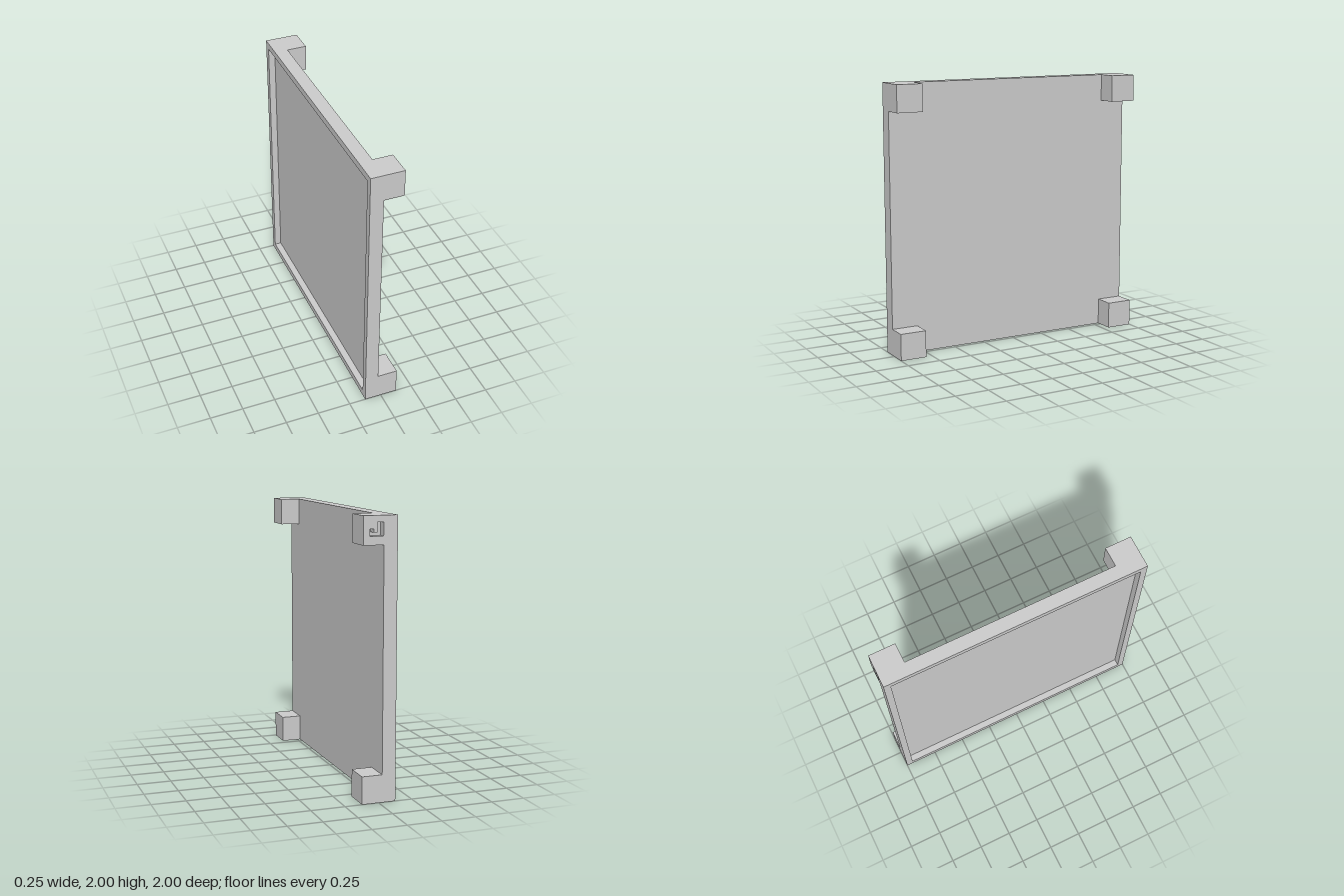
import * as THREE from 'three';

const material = new THREE.MeshStandardMaterial({ color: 0xcccccc, flatShading: true });

function add(parent, name, geometry, x, y, z) {
  const mesh = new THREE.Mesh(geometry, material);
  mesh.name = name;
  mesh.position.set(x, y, z);
  parent.add(mesh);
  return mesh;
}

// Closed outline from [x, y] pairs
const outline = (pairs) => pairs.map(([x, y]) => new THREE.Vector2(x, y));
const square = (r) => outline([[-r, -r], [r, -r], [r, r], [-r, r]]);

function extrudeWithHole(outer, hole, depth) {
  const shape = new THREE.Shape(outer);
  shape.holes.push(new THREE.Path(hole));
  return new THREE.ExtrudeGeometry(shape, { depth, bevelEnabled: false });
}

export function createModel() {
  const group = new THREE.Group();
  group.name = 'panel';

  // Flat panel with a raised rim around its hollow side
  add(group, 'panelPlate', new THREE.BoxGeometry(0.05, 2, 2), -0.05, 1, 0);
  const rim = add(group, 'panelRim', extrudeWithHole(square(1), square(0.95), 0.05), -0.075, 1, 0);
  rim.rotation.y = -Math.PI / 2;

  // Corner blocks; the upper back one has a shallow pocket
  const width = 0.15, size = 0.2, pocketDepth = 0.06;
  for (const y of [0.1, 1.9]) {
    for (const z of [-0.9, 0.9]) {
      if (y > 1 && z < 0) continue;
      add(group, 'cornerBlock', new THREE.BoxGeometry(width, size, size), 0.05, y, z);
    }
  }

  const pocketBlock = new THREE.Group();
  pocketBlock.name = 'pocketCornerBlock';
  group.add(pocketBlock);
  const face = outline([[-0.025, 1.8], [0.125, 1.8], [0.125, 2], [-0.025, 2]]);
  // Stepped pocket: a low channel with a tall and a short prong
  const pocket = outline([
    [-0.022, 1.86], [0.078, 1.86], [0.078, 1.91], [0.05, 1.91],
    [0.05, 1.885], [0.025, 1.885], [0.025, 1.955], [-0.022, 1.955],
  ]);
  add(pocketBlock, 'pocketFace', extrudeWithHole(face, pocket, pocketDepth), 0, 0, -1);
  add(pocketBlock, 'pocketBacking', new THREE.BoxGeometry(width, size, size - pocketDepth),
    0.05, 1.9, -0.8 - (size - pocketDepth) / 2);

  return group;
}
